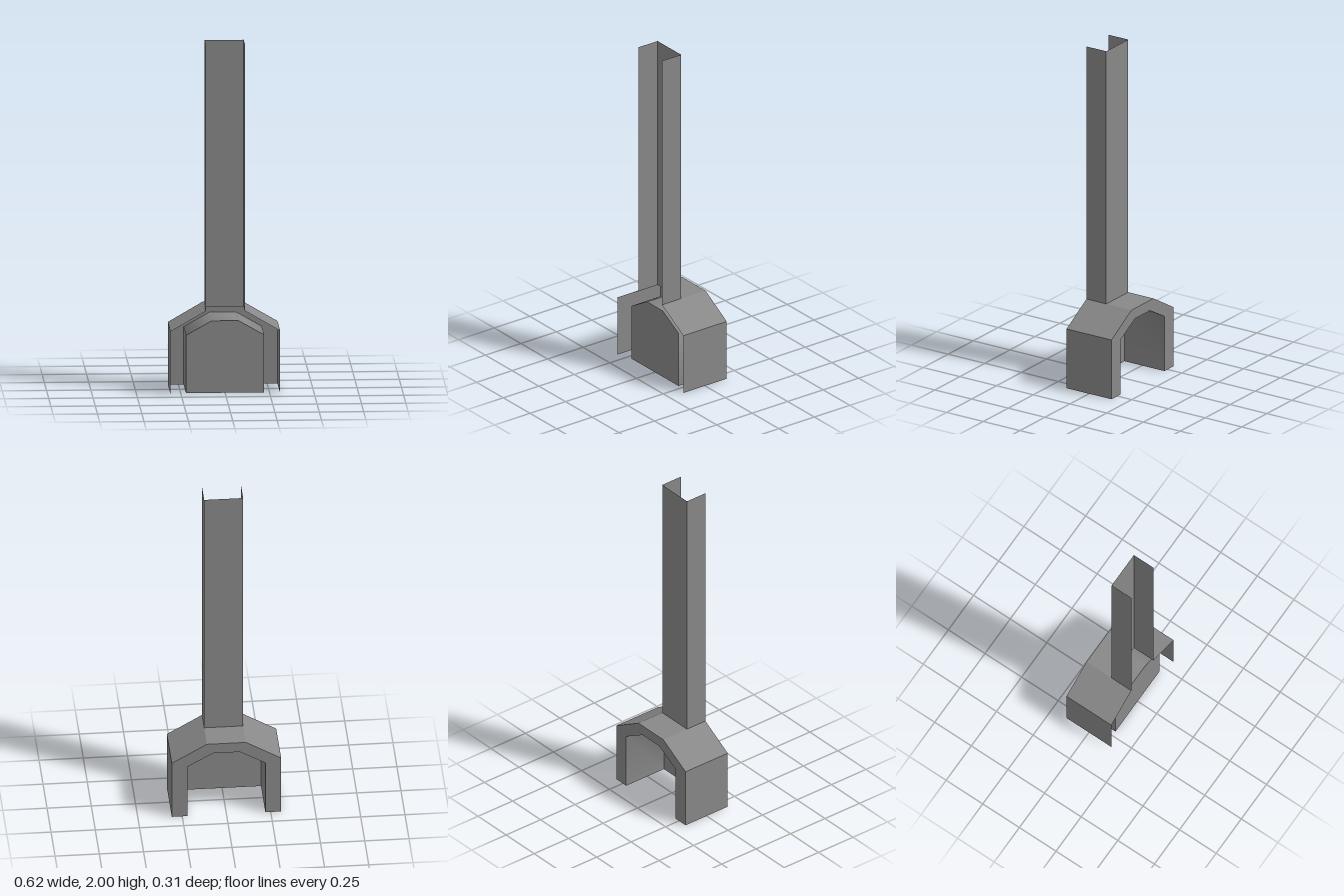
import * as THREE from 'three';

const BACK = -0.153, FRONT = 0.153, FLUE = 0.019, PANEL = 0.12;
const OUTER = [[0.309, 0], [0.309, 0.358], [0.11, 0.474], [-0.11, 0.474], [-0.309, 0.358], [-0.309, 0]];
const INNER = [[0.22, 0], [0.22, 0.33], [0.075, 0.412], [-0.075, 0.412], [-0.22, 0.33], [-0.22, 0]];

// Sweep an open profile from z0 to z1 as a thin sheet.
function sheet(profile, z0, z1, smooth = false) {
  const pos = [], index = [];
  profile.forEach(([x, y], i) => {
    pos.push(x, y, z0, x, y, z1);
    const a = i * 2;
    if (i < profile.length - 1) index.push(a, a + 2, a + 1, a + 2, a + 3, a + 1);
  });
  let g = new THREE.BufferGeometry();
  g.setAttribute('position', new THREE.Float32BufferAttribute(pos, 3));
  g.setIndex(index);
  if (!smooth) g = g.toNonIndexed();
  g.computeVertexNormals();
  return g;
}

const outline = (points) => new THREE.Shape(points.map(([x, y]) => new THREE.Vector2(x, y)));

export function createModel() {
  const model = new THREE.Group();
  model.name = 'fireplace';
  const material = new THREE.MeshStandardMaterial({ color: 0x888888, side: THREE.DoubleSide });
  const add = (name, geometry) => {
    const mesh = new THREE.Mesh(geometry, material);
    mesh.name = name;
    model.add(mesh);
  };

  // Outer casing: walls and sloping shoulders, with the top cut away under the flue
  add('leftCasing', sheet(OUTER.slice(0, 3), BACK, FRONT));
  add('rightCasing', sheet(OUTER.slice(3), BACK, FRONT));
  add('casingTop', sheet(OUTER.slice(2, 4), BACK, FLUE));

  // Surround joining the casing to the firebox mouth
  const surround = new THREE.ShapeGeometry(outline([...OUTER, ...[...INNER].reverse()]));
  add('surround', surround.rotateY(Math.PI).translate(0, 0, BACK));

  // Arched firebox and its closing panel
  add('fireboxLining', sheet(INNER, BACK, PANEL, true));
  add('fireboxPanel', new THREE.ShapeGeometry(outline(INNER)).translate(0, 0, PANEL));

  // Chimney: a three-sided channel, open at the top and one side
  const channel = [[0.11, -FRONT], [0.11, -FLUE], [-0.11, -FLUE], [-0.11, -FRONT]];
  add('chimney', sheet(channel, 0.474, 2).rotateX(-Math.PI / 2));

  return model;
}
